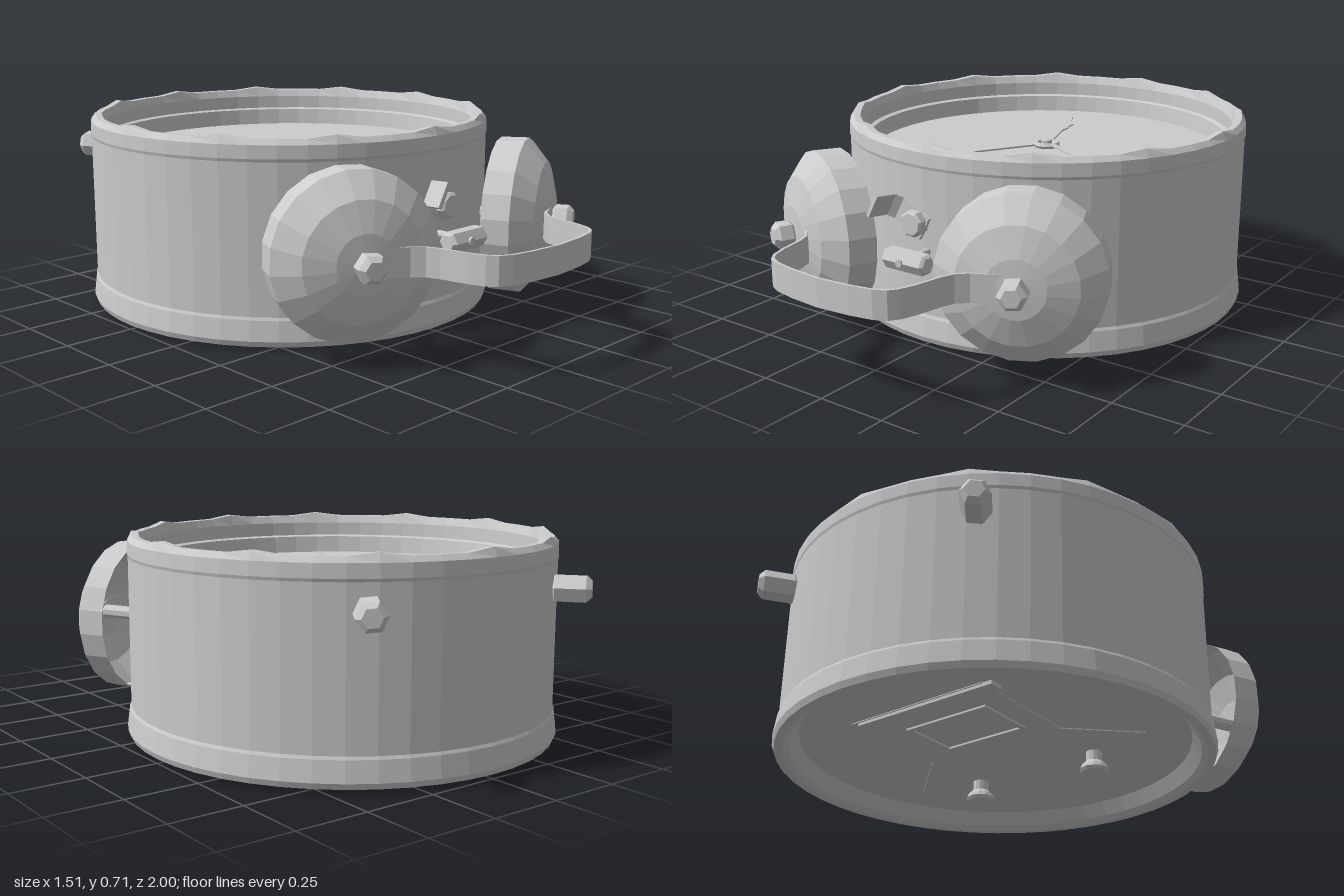
import * as THREE from 'three';

const metal = new THREE.MeshStandardMaterial({ color: 0xcccccc, flatShading: true, side: THREE.DoubleSide });
metal.name = 'grey metal';
const CZ = -0.25; // centre of the clock case in z
const FACE = 0.558; // height of the dial
const BACK = 0.078; // height of the recessed back plate
const UP = new THREE.Vector3(0, 1, 0);
const v2 = (p) => p.map(([a, b]) => new THREE.Vector2(a, b));

function add(parent, name, geometry, x = 0, y = 0, z = 0) {
  const mesh = new THREE.Mesh(geometry, metal);
  mesh.name = name;
  mesh.position.set(x, y, z);
  parent.add(mesh);
  return mesh;
}

// Rod or prism between two points, with bevelled ends if asked
function rod(parent, name, a, b, r, sides, bevel = 0) {
  const from = new THREE.Vector3(...a), to = new THREE.Vector3(...b);
  const len = from.distanceTo(to);
  const profile = v2([[0, 0], [r - bevel, 0], [r, bevel], [r, len - bevel], [r - bevel, len], [0, len]]);
  const mesh = add(parent, name, new THREE.LatheGeometry(profile, sides), ...a);
  mesh.quaternion.setFromUnitVectors(UP, to.sub(from).normalize());
  return mesh;
}

// Flat strip following a path in the x-z plane, with given height and thickness
function strip(path, height, t) {
  const pts = v2(path);
  const normals = pts.map((p, i) => {
    const d = pts[Math.min(i + 1, pts.length - 1)].clone().sub(pts[Math.max(i - 1, 0)]).normalize();
    return new THREE.Vector2(-d.y, d.x).multiplyScalar(t / 2);
  });
  const outer = pts.map((p, i) => p.clone().add(normals[i]));
  const inner = pts.map((p, i) => p.clone().sub(normals[i])).reverse();
  const geo = new THREE.ExtrudeGeometry(new THREE.Shape([...outer, ...inner]), { depth: height, bevelEnabled: false });
  geo.rotateX(Math.PI / 2);
  geo.translate(0, height / 2, 0);
  return geo;
}

// Clock hand drawn along +x as [distance, half width], then turned towards (dx, dz)
function hand(parent, name, outline, dx, dz, y) {
  const bottom = outline.map(([a, w]) => [a, -w]).reverse();
  const geo = new THREE.ExtrudeGeometry(new THREE.Shape(v2([...outline, ...bottom])), { depth: 0.006, bevelEnabled: false });
  geo.rotateX(-Math.PI / 2);
  add(parent, name, geo, 0, y, CZ).rotation.y = Math.atan2(-dz, dx);
}

function createModel() {
  const clock = new THREE.Group();
  clock.name = 'alarmClock';

  // Case: recessed back, flared base band, wall, rim, stepped bezel and dial
  const caseGeo = new THREE.LatheGeometry(v2([
    [0, BACK], [0.67, BACK], [0.7, 0.03], [0.72, 0.015], [0.746, 0.015], [0.754, 0.035], [0.745, 0.105],
    [0.74, 0.115], [0.74, 0.63], [0.743, 0.64], [0.741, 0.685], [0.726, 0.703], [0.702, 0.702],
    [0.69, 0.675], [0.688, 0.625], [0.67, 0.62], [0.662, FACE], [0, FACE],
  ]), 48);
  // Slight hammered waviness on the top rim
  const pos = caseGeo.attributes.position;
  for (let i = 0; i < pos.count; i++) {
    if (pos.getY(i) < 0.69) continue;
    const a = Math.atan2(pos.getZ(i), pos.getX(i));
    pos.setY(i, pos.getY(i) + 0.012 * Math.max(0, Math.cos(a * 12)));
  }
  add(clock, 'case', caseGeo, 0, 0, CZ);

  // Hands and hub
  hand(clock, 'hourHand', [[0.04, 0.01], [0.24, 0.012], [0.29, 0.026], [0.31, 0.022], [0.36, 0.034], [0.41, 0.014], [0.495, 0.005]],
    -0.18, -0.46, FACE + 0.006);
  hand(clock, 'minuteHand', [[0.04, 0.01], [0.2, 0.011], [0.4, 0.007], [0.44, 0.018], [0.5, 0.011], [0.61, 0.005]],
    0.53, 0.30, FACE + 0.014);
  // Alarm hand: a blade standing on edge
  const alarm = add(clock, 'alarmHand', new THREE.PlaneGeometry(0.6, 0.006).translate(0.3, 0, 0), 0, FACE + 0.01, CZ);
  alarm.rotation.y = Math.atan2(-0.55, -0.31);
  const hub = new THREE.TorusGeometry(0.04, 0.011, 6, 16);
  hub.rotateX(Math.PI / 2);
  add(clock, 'hubRing', hub, 0, FACE + 0.01, CZ);
  rod(clock, 'hubPin', [0, FACE, CZ], [0, FACE + 0.03, CZ], 0.02, 8, 0.005);

  for (const s of [-1, 1]) {
    const side = s > 0 ? 'left' : 'right';
    // Bell: open dome on a post, held by a nut
    const bell = new THREE.Group();
    bell.name = side + 'Bell';
    bell.position.set(s * 0.39, 0.353, 0.45);
    bell.quaternion.setFromUnitVectors(UP, new THREE.Vector3(s * 0.43, 0, 0.903).normalize());
    clock.add(bell);
    add(bell, 'bellDome', new THREE.LatheGeometry(v2([
      [0.28, 0], [0.282, 0.1], [0.2, 0.17], [0.1, 0.2], [0, 0.208],
    ]), 20));
    rod(bell, 'bellPost', [0, -0.08, 0], [0, 0.22, 0], 0.025, 8);
    rod(bell, 'bellNut', [0, 0.195, 0], [0, 0.275, 0], 0.05, 6, 0.018);

    // Foot
    rod(clock, side + 'Foot', [s * 0.385, 0.545, -0.862], [s * 0.465, 0.545, -0.972], 0.05, 6, 0.018);

    // Setting knob on the back: short stem with a wide head
    add(clock, side + 'BackKnob', new THREE.LatheGeometry(v2([
      [0, 0], [0.045, 0], [0.052, 0.01], [0.045, 0.025], [0.028, 0.04], [0.028, BACK],
    ]), 12), s * 0.25, 0.003, -0.02);

    // Seam running from the back panel to the rim
    const seam = add(clock, side + 'Seam', new THREE.BoxGeometry(0.3, 0.006, 0.008), s * 0.375, BACK, -0.17);
    seam.rotation.y = -s * 0.75;
  }

  // Carrying handle
  const half = [[-0.5, 0.625], [-0.44, 0.645], [-0.35, 0.69], [-0.315, 0.725], [-0.298, 0.77], [-0.28, 0.86],
    [-0.262, 0.915], [-0.24, 0.945], [-0.2, 0.965], [-0.12, 0.98]];
  const path = [...half, [0, 0.99], ...half.map(([x, z]) => [-x, z]).reverse()];
  const handleGeo = strip(path, 0.096, 0.01);
  // Narrow the strap ends around the nuts
  const hp = handleGeo.attributes.position;
  for (let i = 0; i < hp.count; i++) if (Math.abs(hp.getX(i)) > 0.47) hp.setY(i, hp.getY(i) * 0.5);
  add(clock, 'handle', handleGeo, 0, 0.353, 0);

  // Hammer: pivot peg with a curled arm
  const hammer = new THREE.Group();
  hammer.name = 'hammer';
  hammer.position.set(0, 0.455, 0);
  hammer.rotation.z = -0.5;
  clock.add(hammer);
  add(hammer, 'hammerArm', strip([[0.04, 0.522], [-0.08, 0.522], [-0.11, 0.54], [-0.125, 0.62]], 0.09, 0.014));
  rod(hammer, 'hammerStem', [0, 0, 0.46], [0, 0, 0.53], 0.018, 8);
  rod(hammer, 'hammerPeg', [0, 0, 0.51], [0, 0, 0.56], 0.046, 8, 0.008);

  // Winding key: stem and crossbar
  rod(clock, 'keyStem', [0.015, 0.345, 0.46], [0.015, 0.345, 0.64], 0.014, 8);
  rod(clock, 'keyBar', [-0.068, 0.345, 0.598], [0.108, 0.345, 0.598], 0.038, 6, 0.01);

  // Back plate details: raised panel, battery cover frame and clip bar
  add(clock, 'backPanel', new THREE.BoxGeometry(0.54, 0.006, 0.42), -0.01, BACK, -0.48);
  const frame = new THREE.Shape(v2([[-0.165, -0.11], [0.165, -0.11], [0.165, 0.11], [-0.165, 0.11]]));
  frame.holes.push(new THREE.Path(v2([[-0.15, -0.095], [-0.15, 0.095], [0.15, 0.095], [0.15, -0.095]])));
  const frameGeo = new THREE.ExtrudeGeometry(frame, { depth: 0.008, bevelEnabled: false });
  frameGeo.rotateX(Math.PI / 2);
  add(clock, 'batteryCover', frameGeo, -0.028, BACK - 0.002, -0.45);
  add(clock, 'clipBar', new THREE.BoxGeometry(0.55, 0.014, 0.05), -0.04, BACK - 0.006, -0.66);

  return clock;
}

export { createModel };
